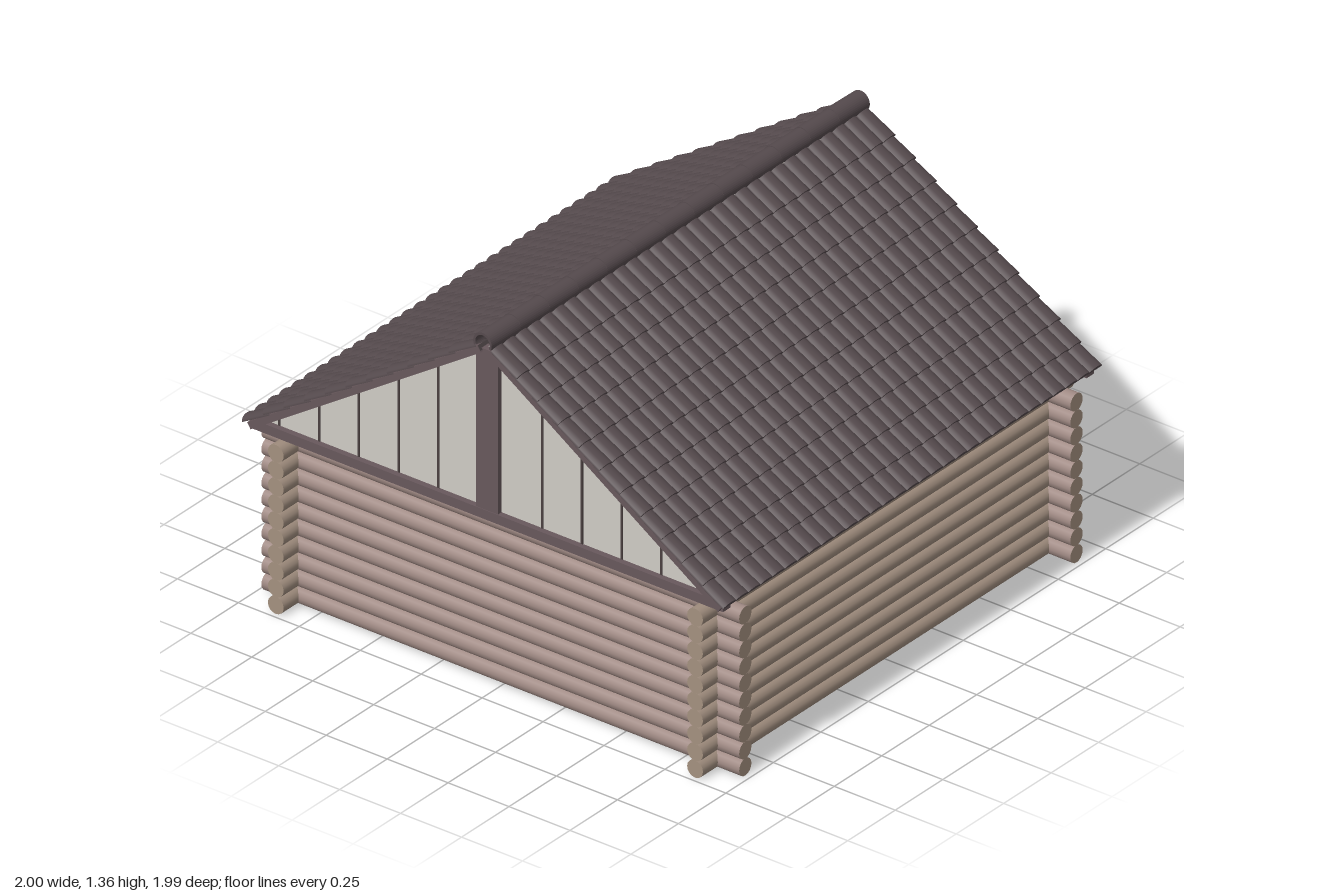
import * as THREE from 'three';
import { mergeGeometries } from 'three/addons/utils/BufferGeometryUtils.js';

const mat = (color) => new THREE.MeshStandardMaterial({ color, side: THREE.DoubleSide });
const M = {
  logLong: mat(0xa08d7e), logSide: mat(0xa08a84), logEnd: mat(0xa4917f),
  tile: mat(0x554a4d), timber: mat(0x68585c), soffit: mat(0x4a4143), panel: mat(0xcfcbc5),
  frame: mat(0xcccccc), glass: mat(0xc4c6c8), door: mat(0x9c877d), dark: mat(0x4a4040), floor: mat(0xa0a0a0),
};

function add(parent, name, geometry, material, x = 0, y = 0, z = 0) {
  const mesh = new THREE.Mesh(geometry, material);
  mesh.name = name;
  mesh.position.set(x, y, z);
  parent.add(mesh);
  return mesh;
}
const box = (parent, name, w, h, d, material, x, y, z) =>
  add(parent, name, new THREE.BoxGeometry(w, h, d), material, x, y, z);

// Log walls: ten stacked logs per side, crossing at the corners
function buildWalls() {
  const g = new THREE.Group();
  g.name = 'logWalls';
  const r = 0.0325, step = 0.063;
  for (let i = 0; i < 10; i++) {
    const y = r + i * step;
    for (const s of [-1, 1]) {
      const long = new THREE.CylinderGeometry(r, r, 1.955, 16).rotateZ(Math.PI / 2);
      add(g, 'longWallLog', long, [M.logLong, M.logEnd, M.logEnd], -0.005, y, s * 0.86);
      const side = new THREE.CylinderGeometry(r, r, 1.96, 16).rotateX(Math.PI / 2);
      add(g, 'sideWallLog', side, [M.logSide, M.logEnd, M.logEnd], s * 0.872, y, 0);
    }
  }
  box(g, 'floor', 1.74, 0.015, 1.72, M.floor, 0, 0.015, 0);
  return g;
}

// One arched roof tile: tapered half barrel with a closed lower lip
function tileGeometry() {
  const body = new THREE.CylinderGeometry(0.035, 0.031, 0.125, 8, 1, true, Math.PI / 2, Math.PI).rotateX(Math.PI / 2);
  const lip = new THREE.CircleGeometry(0.035, 8, 0, Math.PI).translate(0, 0, 0.0625);
  return mergeGeometries([body, lip]).scale(1, 0.55, 1).rotateX(-0.07);
}

// One roof slope; local z runs down the slope from the ridge
function buildSlope() {
  const turn = new THREE.Group(), slope = new THREE.Group();
  turn.name = 'roofSlope';
  slope.position.y = 1.32;
  slope.rotation.x = Math.atan(0.66);
  turn.add(slope);
  const cols = 31, rows = 11, start = 0.035, end = 1.175;
  box(slope, 'roofDeck', 1.97, 0.02, end - start - 0.01, M.soffit, 0, -0.01, (start + end - 0.01) / 2);
  // Edge boards along both gables
  for (const s of [-1, 1])
    box(slope, 'bargeBoard', 0.025, 0.026, end - start - 0.01, M.timber, s * 0.976, -0.012, (start + end - 0.01) / 2);
  const tile = tileGeometry(), tiles = [];
  const pitch = (end - start - 0.125) / (rows - 1);
  for (let r = 0; r < rows; r++)
    for (let c = 0; c < cols; c++)
      tiles.push(tile.clone().translate((c - 15) * 0.0642, 0.004, start + 0.0625 + r * pitch));
  add(slope, 'roofTiles', mergeGeometries(tiles), M.tile);
  return turn;
}

// Ridge of overlapping hollow caps
function buildRidge() {
  const g = new THREE.Group();
  g.name = 'ridge';
  const shape = new THREE.Shape();
  shape.absarc(0, 0, 0.038, -0.45, Math.PI + 0.45, false);
  shape.absarc(0, 0, 0.029, Math.PI + 0.45, -0.45, true);
  const n = 13, len = 1.985 / n;
  for (let i = 0; i < n; i++) {
    const geo = new THREE.ExtrudeGeometry(shape, { depth: len + 0.006, bevelEnabled: false, curveSegments: 12 });
    geo.rotateY(Math.PI / 2);
    const cap = add(g, 'ridgeCap', geo, M.tile, -0.993 + i * len, 1.322, -0.004);
    cap.rotation.z = -0.02;
  }
  return g;
}

// Gable end facing +x: boarded triangle, king post and tie beam
function buildGable() {
  const g = new THREE.Group();
  g.name = 'gable';
  const tri = new THREE.Shape([[-0.95, 0.67], [0.95, 0.67], [0, 1.297]].map((p) => new THREE.Vector2(...p)));
  const geo = new THREE.ExtrudeGeometry(tri, { depth: 0.015, bevelEnabled: false }).rotateY(Math.PI / 2);
  add(g, 'gablePanel', geo, M.panel, 0.94, 0, 0);
  for (const s of [-1, 1])
    for (let i = 1; i <= 5; i++) {
      const z = 0.05 + i * 0.163, top = 1.295 - 0.66 * z;
      box(g, 'boardSeam', 0.004, top - 0.685, 0.008, M.dark, 0.956, (top + 0.685) / 2, s * z);
    }
  box(g, 'kingPost', 0.035, 0.61, 0.09, M.timber, 0.957, 0.985, 0);
  box(g, 'tieBeam', 0.04, 0.035, 1.94, M.timber, 0.957, 0.6725, 0);
  return g;
}

// Flat frame in the y-z plane with a rectangular opening, facing +x
function frameGeometry(w, h, border, bottomBorder, depth) {
  const rect = (P, x0, y0, x1, y1) => {
    const p = new P();
    p.moveTo(x0, y0); p.lineTo(x1, y0); p.lineTo(x1, y1); p.lineTo(x0, y1); p.closePath();
    return p;
  };
  const shape = rect(THREE.Shape, -w / 2, 0, w / 2, h);
  shape.holes.push(rect(THREE.Path, -w / 2 + border, bottomBorder, w / 2 - border, h - border));
  return new THREE.ExtrudeGeometry(shape, { depth, bevelEnabled: false }).rotateY(Math.PI / 2);
}

function buildWindow(y, z) {
  const g = new THREE.Group();
  g.name = 'window';
  add(g, 'windowFrame', frameGeometry(0.21, 0.215, 0.028, 0.028, 0.045), M.frame, 0.88, 0, 0);
  box(g, 'windowPane', 0.025, 0.17, 0.165, M.glass, 0.9, 0.1075, 0);
  // Dark reveal along the top and one side
  box(g, 'topReveal', 0.006, 0.006, 0.155, M.dark, 0.923, 0.187, 0);
  box(g, 'sideReveal', 0.006, 0.155, 0.006, M.dark, 0.923, 0.11, -0.077);
  g.position.set(0, y, z);
  return g;
}

function buildDoor() {
  const g = new THREE.Group();
  g.name = 'door';
  add(g, 'doorFrame', frameGeometry(0.24, 0.44, 0.02, 0.002, 0.05), M.frame, 0.88, 0.04, 0);
  box(g, 'doorLeaf', 0.035, 0.415, 0.2, M.door, 0.9, 0.25, 0);
  box(g, 'doorPanelLine', 0.004, 0.006, 0.125, M.dark, 0.918, 0.345, -0.002);
  add(g, 'doorKnob', new THREE.SphereGeometry(0.01, 12, 8), M.dark, 0.925, 0.245, -0.088);
  return g;
}

export function createModel() {
  const model = new THREE.Group();
  model.name = 'logCabin';
  model.add(buildWalls(), buildRidge(), buildDoor(), buildWindow(0.155, 0.62), buildWindow(0.165, -0.6));
  for (const turn of [0, Math.PI]) {
    const slope = buildSlope(), gable = buildGable();
    slope.rotation.y = gable.rotation.y = turn;
    model.add(slope, gable);
  }
  // Closed underside of the roof
  box(model, 'soffit', 1.9, 0.015, 1.92, M.soffit, 0, 0.665, 0);
  return model;
}
